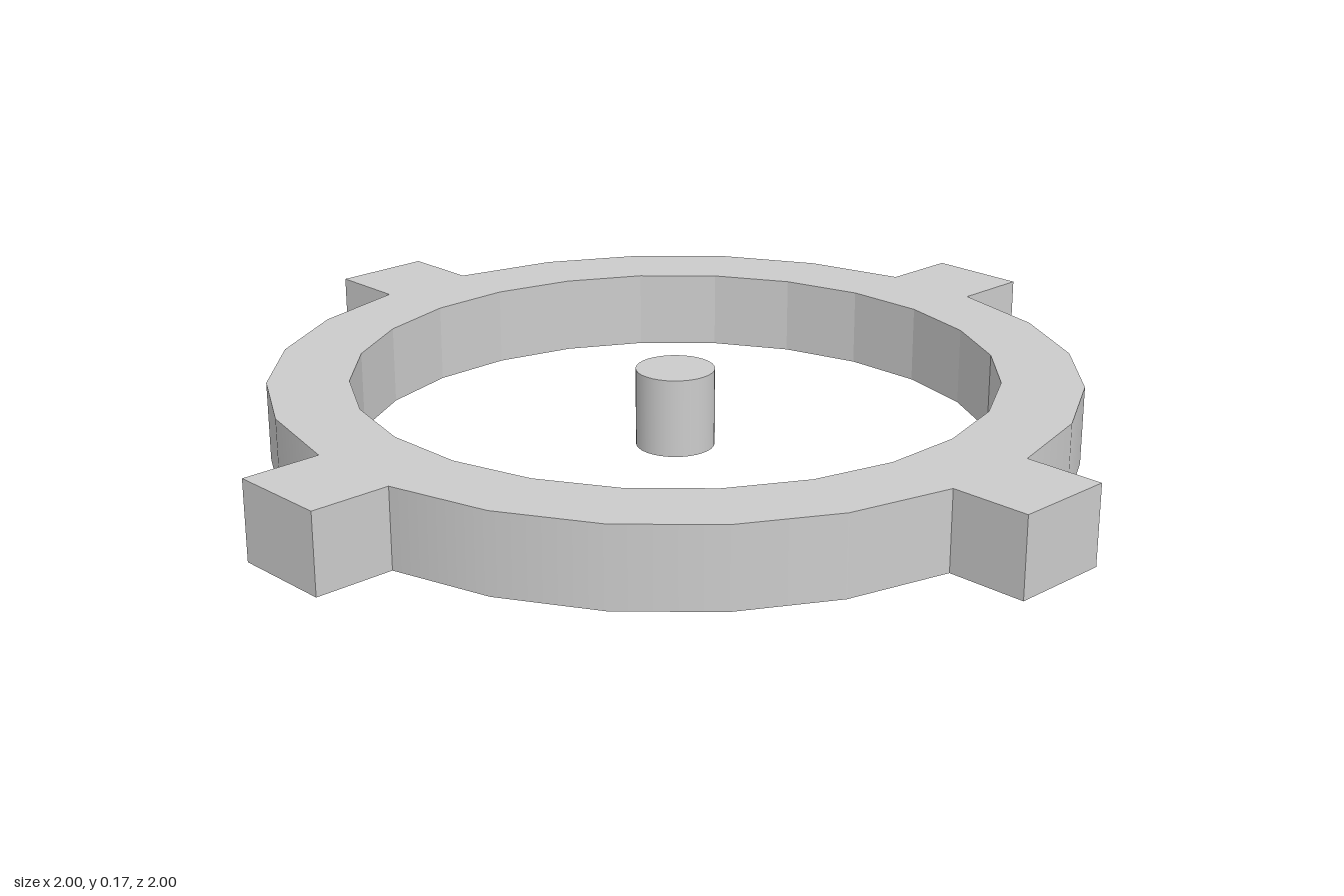
import * as THREE from 'three';

const HEIGHT = 0.167;
const INNER_RADIUS = 0.673;

// One quarter of the outer edge: a square tab, then the start of the arc
const QUARTER = [
  [0.83, -0.102], [1, -0.102], [1, 0.114], [0.83, 0.114],
  [0.774, 0.327], [0.665, 0.516], [0.512, 0.668], [0.322, 0.776],
];

// Rounds the shading of the outer wall, leaving tabs and inner wall faceted
function smoothOuterWall(geometry) {
  const pos = geometry.attributes.position;
  const nor = geometry.attributes.normal;
  const point = new THREE.Vector3();
  const normal = new THREE.Vector3();
  for (let i = 0; i < pos.count; i++) {
    point.fromBufferAttribute(pos, i).setZ(0);
    normal.fromBufferAttribute(nor, i);
    const radius = point.length();
    point.normalize();
    if (radius > 0.8 && radius < 0.9 && normal.dot(point) > 0.9) {
      nor.setXYZ(i, point.x, point.y, 0);
    }
  }
}

export function createModel() {
  const group = new THREE.Group();
  const material = new THREE.MeshStandardMaterial({ color: 0xcccccc });

  // Ring with four tabs: the quarter outline turned four times
  const outline = [];
  for (let q = 0; q < 4; q++) {
    for (const [x, y] of QUARTER) {
      outline.push(new THREE.Vector2(x, y).rotateAround(new THREE.Vector2(), q * Math.PI / 2));
    }
  }
  const shape = new THREE.Shape(outline);

  // 24-sided opening
  const hole = [];
  for (let i = 0; i < 24; i++) {
    const a = THREE.MathUtils.degToRad(8.1 + i * 15);
    hole.push(new THREE.Vector2(Math.cos(a), Math.sin(a)).multiplyScalar(INNER_RADIUS));
  }
  shape.holes.push(new THREE.Path(hole));

  const ringGeometry = new THREE.ExtrudeGeometry(shape, { depth: HEIGHT, bevelEnabled: false });
  smoothOuterWall(ringGeometry);
  ringGeometry.rotateX(-Math.PI / 2);
  const ring = new THREE.Mesh(ringGeometry, material);
  ring.name = 'tabbedRing';
  group.add(ring);

  // Loose pin in the middle
  const pin = new THREE.Mesh(new THREE.CylinderGeometry(0.083, 0.083, HEIGHT, 32), material);
  pin.name = 'centrePin';
  pin.position.y = HEIGHT / 2;
  group.add(pin);

  return group;
}
